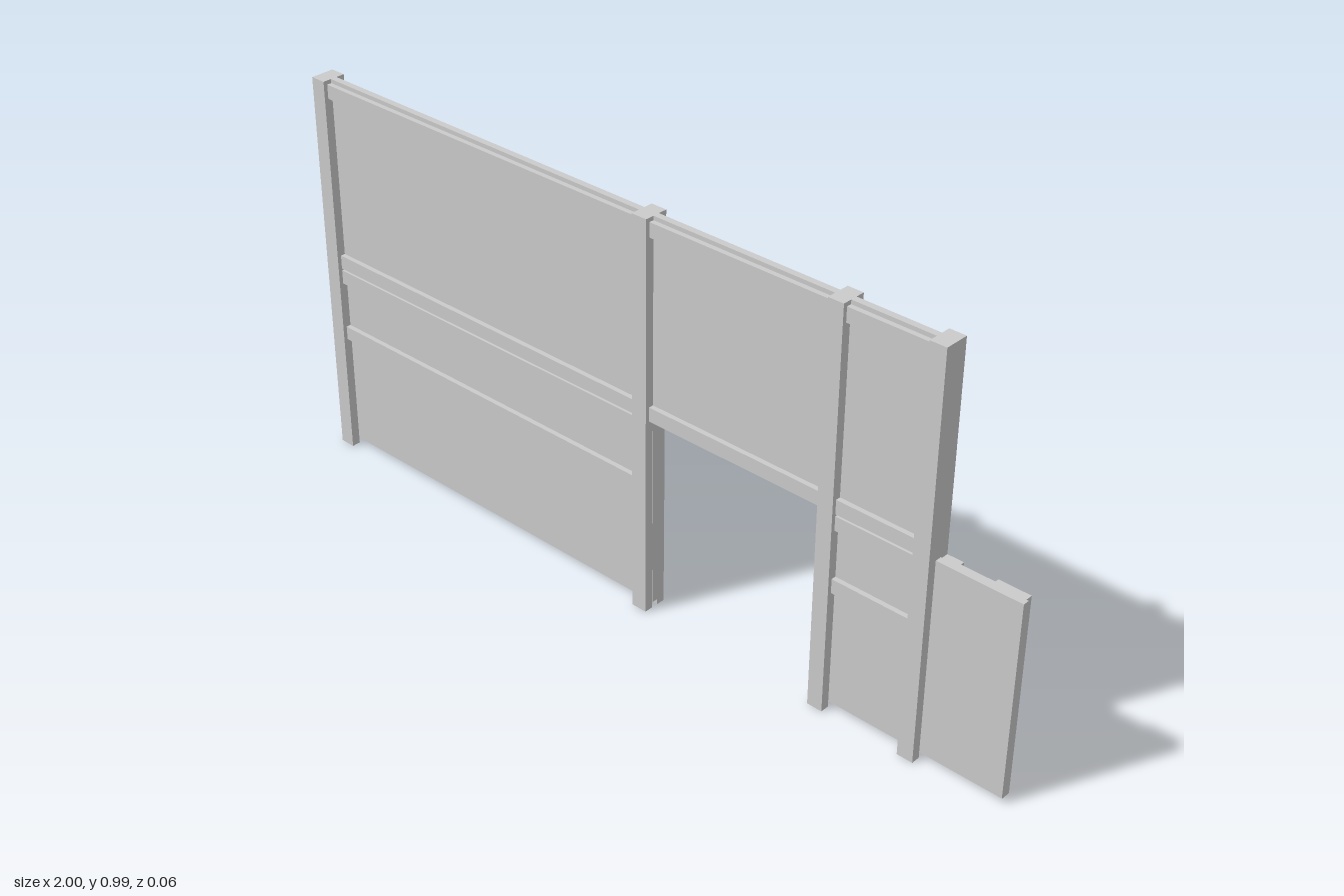
import * as THREE from 'three';

const CORE = 0.008; // half thickness of the wall panel
const RAIL = 0.02;  // half depth at the rails
const POST = 0.03;  // half depth at the posts

export function createModel() {
  const group = new THREE.Group();
  const mat = new THREE.MeshStandardMaterial({ color: 0xcccccc, flatShading: true });

  const box = (name, x0, x1, y0, y1, z0, z1) => {
    const m = new THREE.Mesh(new THREE.BoxGeometry(x1 - x0, y1 - y0, z1 - z0), mat);
    m.position.set((x0 + x1) / 2, (y0 + y1) / 2, (z0 + z1) / 2);
    m.name = name;
    group.add(m);
  };
  // Matching boards on the front and back of the panel
  const pair = (name, x0, x1, y0, y1, depth) => {
    box(name + 'Front', x0, x1, y0, y1, CORE, depth);
    box(name + 'Back', x0, x1, y0, y1, -depth, -CORE);
  };

  // Thin wall panel with a door opening and a low wing at the end
  const outline = [
    [-1, 0.015], [0.046, 0.015], [0.046, 0.498], [0.516, 0.498], [0.516, 0.015],
    [1, 0.015], [1, 0.498], [0.794, 0.498], [0.794, 0.985], [-1, 0.985],
  ];
  const shape = new THREE.Shape(outline.map(([x, y]) => new THREE.Vector2(x, y)));
  const panel = new THREE.Mesh(
    new THREE.ExtrudeGeometry(shape, { depth: CORE * 2, bevelEnabled: false }), mat);
  panel.position.z = -CORE;
  panel.name = 'wallPanel';
  group.add(panel);

  // Full-height posts
  const posts = [[-1, -0.96], [0.005, 0.045], [0.515, 0.554], [0.754, 0.794]];
  posts.forEach(([x0, x1]) => pair('post', x0, x1, 0, 0.985, POST));

  // Horizontal rails between the posts; the door bay has only the upper two
  const upper = [[0.94, 0.975], [0.5, 0.535]];
  const lower = [[0.46, 0.495], [0.305, 0.34]];
  for (let i = 0; i < posts.length - 1; i++) {
    const rails = i === 1 ? upper : [...upper, ...lower];
    rails.forEach(([y0, y1]) => pair('rail', posts[i][1], posts[i + 1][0], y0, y1, RAIL));
  }

  // Wing framing, on the back only
  box('wingInnerPost', 0.794, 0.834, 0, 0.494, -POST, -CORE);
  box('wingOuterPost', 0.915, 0.992, 0, 0.494, -POST, -CORE);
  lower.forEach(([y0, y1]) => box('wingRail', 0.834, 0.915, y0, y1 - 0.001, -RAIL, -CORE));

  return group;
}
